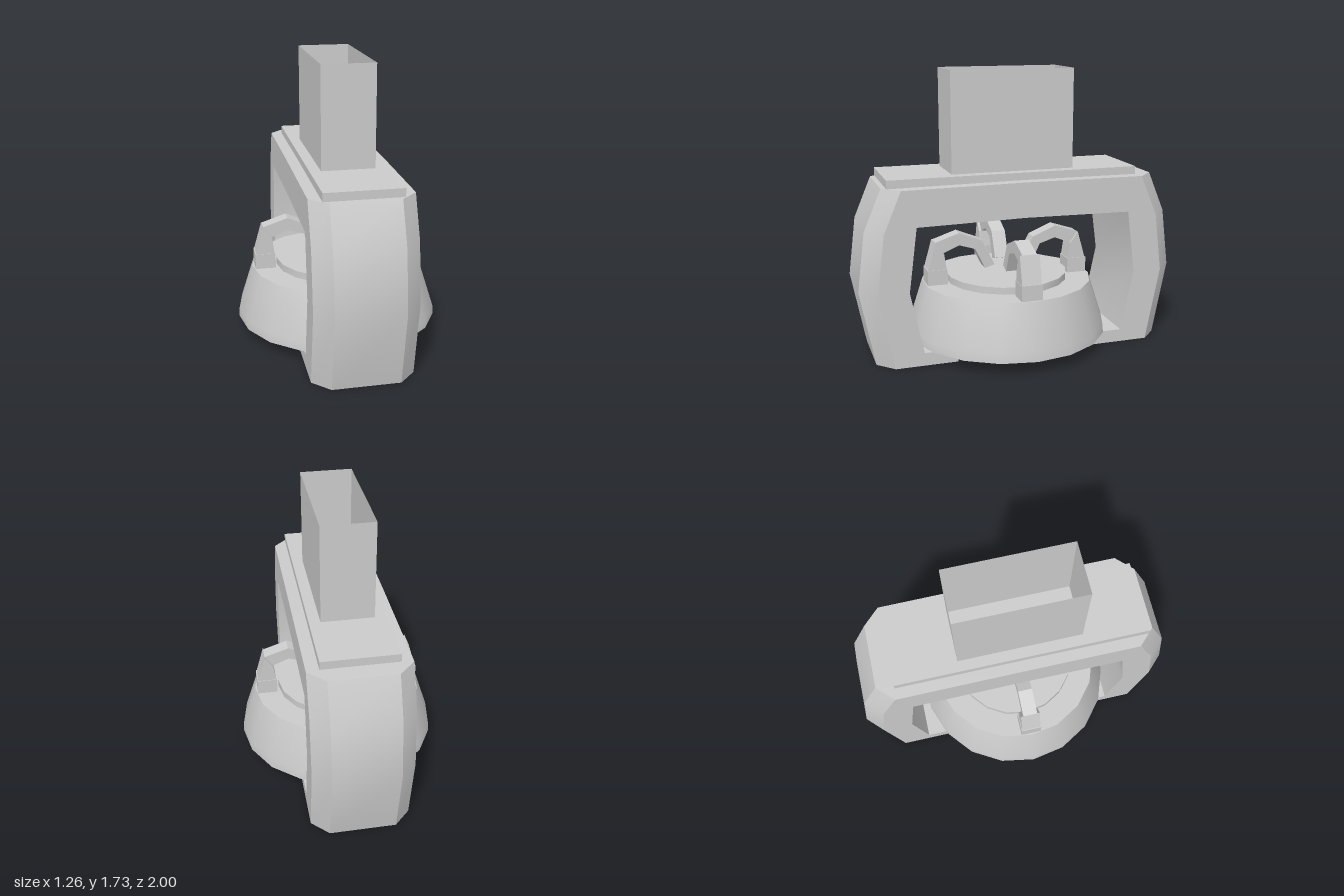
import * as THREE from 'three';
import { toCreasedNormals } from 'three/addons/utils/BufferGeometryUtils.js';

const grey = new THREE.MeshStandardMaterial({ color: 0xcccccc });
const greyDouble = new THREE.MeshStandardMaterial({ color: 0xcccccc, side: THREE.DoubleSide });
const CENTRE_Z = 0.037;
const CREASE = 0.6;

function part(name, geometry, material = grey) {
  const mesh = new THREE.Mesh(geometry, material);
  mesh.name = name;
  return mesh;
}

// Arched frame: six-cornered cross-sections swept from the front foot over to the back foot
function frameGeometry() {
  // outer z, outer y, inner z, inner y, chamfer
  const half = [
    [0.43, 0, 0.43, 0.08, 0],
    [0.91, 0, 0.635, 0.08, 0.1],
    [1.0, 0.46, 0.715, 0.46, 0.1],
    [0.955, 0.82, 0.665, 0.85, 0.1],
    [0.85, 1.07, 0.665, 0.85, 0.1],
  ];
  const back = half.map(([oz, oy, iz, iy, c]) => [-oz, oy, -iz, iy, -c]).reverse();
  const stations = [...half, [0, 1.075, 0, 0.86, 0], ...back];
  const rings = stations.map(([oz, oy, iz, iy, c]) => [
    [-0.3, iy, iz], [-0.3, oy, oz - c], [-0.2, oy, oz],
    [0.2, oy, oz], [0.3, oy, oz - c], [0.3, iy, iz],
  ]);
  const positions = [];
  const tri = (a, b, c) => positions.push(...a, ...b, ...c);
  for (let s = 0; s < rings.length - 1; s++) {
    const a = rings[s], b = rings[s + 1];
    for (let i = 0; i < 6; i++) {
      const j = (i + 1) % 6;
      tri(a[i], a[j], b[j]);
      tri(a[i], b[j], b[i]);
    }
  }
  // foot tips
  const first = rings[0], last = rings[rings.length - 1];
  for (let i = 1; i < 5; i++) {
    tri(first[0], first[i + 1], first[i]);
    tri(last[0], last[i], last[i + 1]);
  }
  const geometry = new THREE.BufferGeometry();
  geometry.setAttribute('position', new THREE.Float32BufferAttribute(positions, 3));
  return toCreasedNormals(geometry, CREASE);
}

// Polygon in the radius/height plane, given a thickness
function slab(points, width) {
  const shape = new THREE.Shape(points.map(([r, y]) => new THREE.Vector2(r, y)));
  return new THREE.ExtrudeGeometry(shape, { depth: width, bevelEnabled: false })
    .translate(0, 0, -width / 2);
}

function createArm() {
  const arm = new THREE.Group();
  arm.name = 'arm';
  const base = new THREE.BoxGeometry(0.125, 0.095, 0.13).translate(0.458, 0.4625, 0);
  const post = slab([[0.515, 0.51], [0.467, 0.68], [0.415, 0.61], [0.4, 0.51]], 0.122);
  const hook = slab([
    [0.467, 0.68], [0.315, 0.73], [0.167, 0.67], [0.088, 0.51],
    [0.15, 0.49], [0.213, 0.62], [0.315, 0.652], [0.415, 0.61],
  ], 0.09);
  arm.add(part('armBase', base), part('armPost', post), part('armHook', hook));
  return arm;
}

export function createModel() {
  const model = new THREE.Group();
  model.name = 'model';
  model.add(part('frame', frameGeometry()));

  // Plate on top of the frame
  const plate = new THREE.BoxGeometry(0.455, 0.05, 1.56).translate(-0.003, 1.095, 0.04);
  model.add(part('topPlate', plate));

  // Open duct: box walls without top and bottom
  const duct = new THREE.BoxGeometry(0.32, 0.61, 0.765).translate(-0.004, 1.425, CENTRE_Z);
  duct.setIndex(Array.from(duct.index.array).filter((_, i) => i < 12 || i >= 24));
  model.add(part('duct', duct, greyDouble));

  // Tapered drum with a raised disc and four hooked arms
  const drum = new THREE.Group();
  drum.name = 'drum';
  drum.position.z = CENTRE_Z;
  const profile = [[0, 0.08], [0.63, 0.08], [0.625, 0.135], [0.535, 0.415], [0, 0.415]]
    .map(([r, y]) => new THREE.Vector2(r, y));
  const body = new THREE.LatheGeometry(profile, 18).rotateY(Math.PI / 2);
  const disc = new THREE.CylinderGeometry(0.383, 0.383, 0.045, 18)
    .rotateY(Math.PI / 2).translate(0, 0.4355, 0);
  drum.add(part('drumBody', toCreasedNormals(body, CREASE)));
  drum.add(part('drumDisc', toCreasedNormals(disc, CREASE)));
  for (let i = 0; i < 4; i++) {
    const arm = createArm();
    arm.rotation.y = (i * Math.PI) / 2;
    drum.add(arm);
  }
  model.add(drum);
  return model;
}
